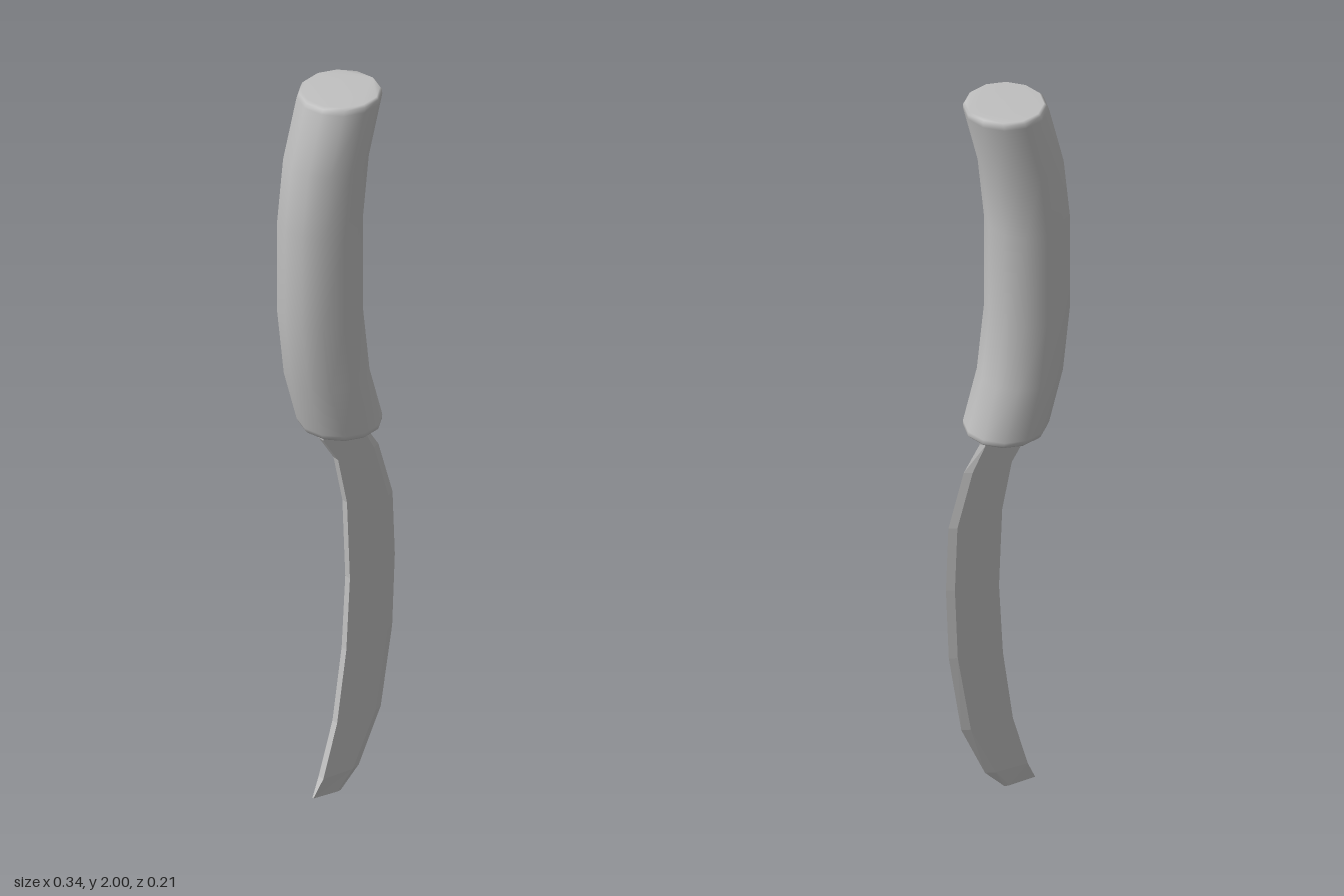
import * as THREE from 'three';

// Skin a list of rings (bottom to top, counter-clockwise from above) and cap both ends
function loft(rings) {
  const n = rings[0].length, last = rings.length - 1;
  const pos = rings.flat(2), index = [];
  for (let i = 0; i < last; i++) {
    for (let j = 0; j < n; j++) {
      const k = (j + 1) % n;
      const a = i * n + j, b = i * n + k, c = b + n, d = a + n;
      index.push(a, b, c, a, c, d);
    }
  }
  for (let j = 1; j < n - 1; j++) {
    index.push(0, j + 1, j);
    index.push(last * n, last * n + j, last * n + j + 1);
  }
  const geo = new THREE.BufferGeometry();
  geo.setAttribute('position', new THREE.Float32BufferAttribute(pos, 3));
  geo.setIndex(index);
  return geo;
}

export function createModel() {
  const model = new THREE.Group();
  model.name = 'knife';
  const grey = new THREE.MeshStandardMaterial({ color: 0xc0c0c0 });
  grey.name = 'plain grey';

  // Handle: bowed twelve-sided grip, [y, centre x, radius], with a shallow socket below
  const grip = [
    [1.08, -0.01, 0.08], [1.05, 0, 0.08], [1.05, 0, 0.098], [1.056, -0.001, 0.104],
    [1.068, -0.004, 0.107], [1.21, -0.043, 0.107], [1.39, -0.063, 0.107],
    [1.65, -0.063, 0.107], [1.82, -0.045, 0.107], [1.982, -0.004, 0.107],
    [1.994, -0.001, 0.104], [2, 0, 0.098],
  ].map(([y, cx, r]) => Array.from({ length: 12 }, (_, j) => {
    const a = j * Math.PI / 6;
    return [cx + r * Math.cos(a), y, -r * Math.sin(a)];
  }));
  const gripGeo = loft(grip);
  gripGeo.computeVertexNormals();
  const handle = new THREE.Mesh(gripGeo, grey);
  handle.name = 'handle';
  model.add(handle);

  // Blade: [spine x, spine y, edge x, edge y, bevel width, half thickness], tip to tang
  const blade = [
    [-0.085, 0.004, 0.0, 0.0, 0.012, 0.002],
    [-0.06, 0.055, 0.055, 0.055, 0.025, 0.01],
    [-0.018, 0.2, 0.122, 0.2, 0.022, 0.01],
    [0.01, 0.4, 0.157, 0.42, 0.02, 0.01],
    [0.021, 0.6, 0.165, 0.62, 0.02, 0.01],
    [0.012, 0.82, 0.158, 0.8, 0.02, 0.01],
    [-0.015, 0.95, 0.115, 0.95, 0.02, 0.01],
    [-0.06, 1.02, 0.07, 1.02, 0.012, 0.01],
    [-0.065, 1.1, 0.07, 1.1, 0.012, 0.01],
  ].map(([sx, sy, ex, ey, w, t]) => [
    [ex, ey, 0], [ex - w, ey, -t], [sx, sy, -t], [sx, sy, t], [ex - w, ey, t],
  ]);
  const bladeGeo = loft(blade).toNonIndexed();
  bladeGeo.computeVertexNormals();
  const bladeMesh = new THREE.Mesh(bladeGeo, grey);
  bladeMesh.name = 'blade';
  model.add(bladeMesh);

  return model;
}
